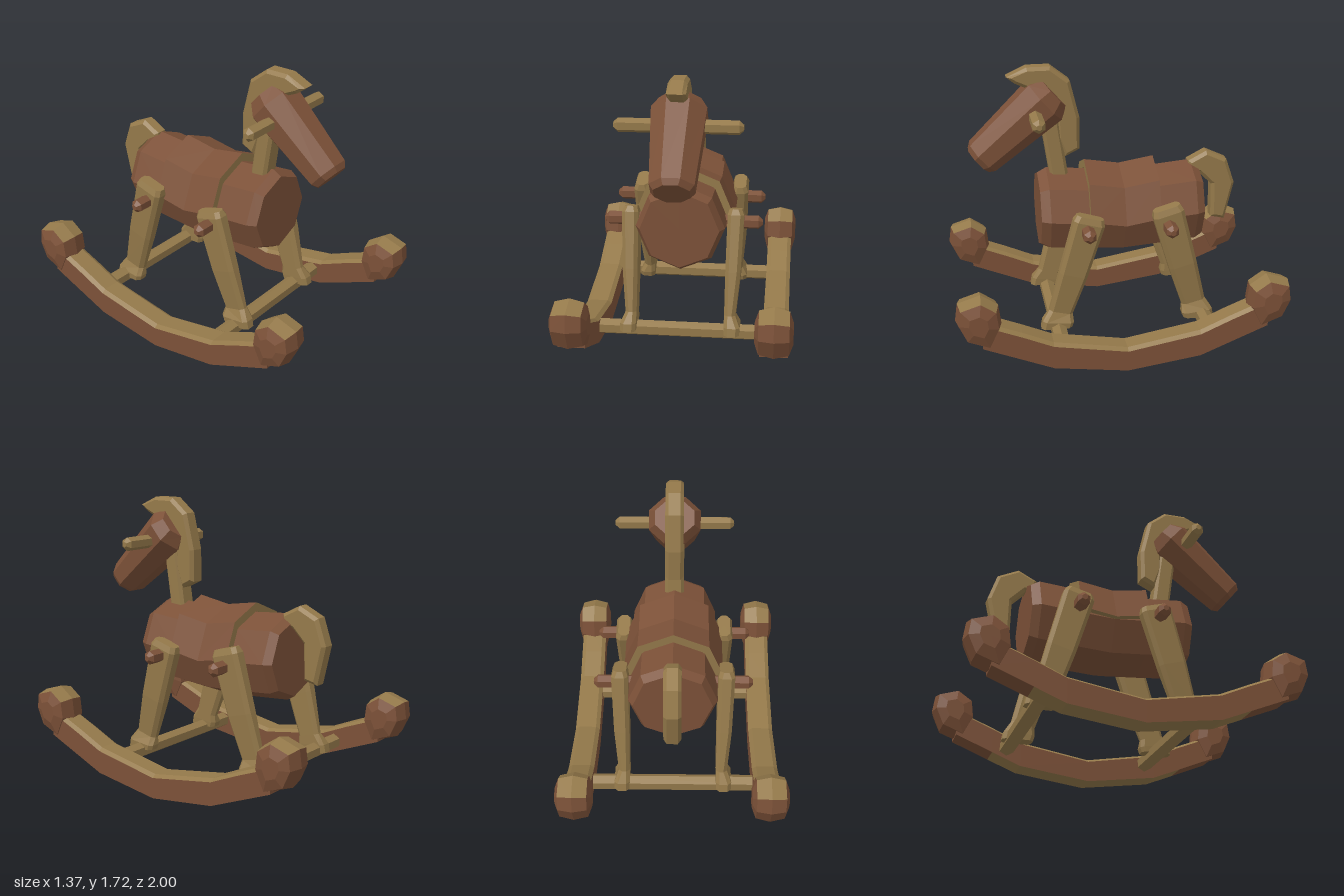
import * as THREE from 'three';

const brown = new THREE.MeshStandardMaterial({ color: 0x7c5138, flatShading: true });
brown.name = 'brown wood';
const tan = new THREE.MeshStandardMaterial({ color: 0x94794a, flatShading: true });
tan.name = 'tan wood';

const V = (x, y, z) => new THREE.Vector3(x, y, z);

// Faceted skin through equal-length rings of points, with fan caps, always facing outward.
function loft(rings) {
  const tris = [], n = rings[0].length;
  for (let i = 0; i < rings.length - 1; i++) {
    for (let j = 0; j < n; j++) {
      const k = (j + 1) % n;
      const [a, b, c, d] = [rings[i][j], rings[i][k], rings[i + 1][k], rings[i + 1][j]];
      tris.push([a, b, c], [a, c, d]);
    }
  }
  const cap = (ring, flip) => {
    const mid = ring.reduce((s, p) => s.add(p), V(0, 0, 0)).divideScalar(n);
    ring.forEach((p, j) => {
      const q = ring[(j + 1) % n];
      tris.push(flip ? [mid, q, p] : [mid, p, q]);
    });
  };
  cap(rings[0], true);
  cap(rings[rings.length - 1], false);
  const volume = tris.reduce((s, [a, b, c]) => s + a.dot(b.clone().cross(c)), 0);
  const pts = tris.flatMap(([a, b, c]) => (volume < 0 ? [a, c, b] : [a, b, c]));
  const geo = new THREE.BufferGeometry().setFromPoints(pts);
  geo.computeVertexNormals();
  return geo;
}

// Splits faces between brown and tan by a rule on face normal and centre.
function paint(source, isTan) {
  const geo = source.index ? source.toNonIndexed() : source;
  geo.clearGroups();
  const pos = geo.attributes.position, tri = new THREE.Triangle();
  const normal = V(0, 0, 0), mid = V(0, 0, 0);
  for (let i = 0; i < pos.count; i += 3) {
    tri.setFromAttributeAndIndices(pos, i, i + 1, i + 2);
    tri.getNormal(normal);
    tri.getMidpoint(mid);
    geo.addGroup(i, 3, isTan(normal, mid) ? 1 : 0);
  }
  return geo;
}

// Hexagonal rod along x from [x, radius] pairs.
const rod = (profile, y, z) => loft(profile.map(([x, r]) =>
  Array.from({ length: 6 }, (_, i) => V(x, y + r * Math.cos(i * Math.PI / 3), z + r * Math.sin(i * Math.PI / 3)))));

// Rectangle with cut corners, as [u, v] pairs.
const chamfered = (a, b, c) => [[a, b - c], [a - c, b], [c - a, b], [-a, b - c], [-a, c - b], [c - a, -b], [a - c, -b], [a, c - b]];

// Bevelled slab with a side outline given as [z, y] pairs.
function slab(outline, halfWidth) {
  const bevel = 0.02;
  const geo = new THREE.ExtrudeGeometry(new THREE.Shape(outline.map(([z, y]) => new THREE.Vector2(z, y))), {
    depth: 2 * (halfWidth - bevel), bevelEnabled: true, bevelSegments: 1,
    bevelSize: bevel, bevelThickness: bevel, bevelOffset: -bevel,
  });
  geo.translate(0, 0, bevel - halfWidth);
  return geo.rotateY(-Math.PI / 2);
}

export function createModel() {
  const model = new THREE.Group();
  model.name = 'rockingHorse';
  const add = (name, geo, material) => {
    const mesh = new THREE.Mesh(geo, material);
    mesh.name = name;
    model.add(mesh);
  };

  // Barrel body with a sagging back: [z, centre y, radius]
  const stations = [[0.45, 0.815, 0.235], [0.395, 0.815, 0.265], [0.16, 0.795, 0.265], [-0.055, 0.78, 0.265],
    [-0.27, 0.795, 0.265], [-0.505, 0.815, 0.265], [-0.555, 0.815, 0.235]];
  add('body', loft(stations.map(([z, y, r]) => Array.from({ length: 8 }, (_, i) =>
    V(r * Math.sin(i * Math.PI / 4), y + r * Math.cos(i * Math.PI / 4), z)))), brown);

  // Saddle: half shell over the back, lowered in the middle
  const arc = (r) => Array.from({ length: 5 }, (_, i) =>
    new THREE.Vector2(r * Math.cos(i * Math.PI / 4), r * Math.sin(i * Math.PI / 4)));
  const saddle = new THREE.ExtrudeGeometry(new THREE.Shape([...arc(0.303), ...arc(0.25).reverse()]),
    { depth: 0.43, steps: 2, bevelEnabled: false });
  saddle.translate(0, 0, -0.27);
  const sp = saddle.attributes.position;
  for (let i = 0; i < sp.count; i++) {
    sp.setY(i, sp.getY(i) + 0.78 + 0.035 * Math.abs(sp.getZ(i) + 0.055) / 0.215);
  }
  saddle.computeVertexNormals();
  add('saddle', paint(saddle, (n) => n.y < -0.3 || Math.abs(n.z) > 0.7), [brown, tan]);

  // Neck post: [y, z, half depth]
  add('neck', loft([[0.98, 0.31, 0.055], [1.22, 0.345, 0.055], [1.45, 0.38, 0.055]].map(([y, z, d]) =>
    chamfered(0.06, d, 0.018).map(([u, v]) => V(u, y, z + v)))), tan);

  // Head, sloping to the nose: [z, y, half width, half height]
  const headRings = [[0.34, 1.555, 0.12, 0.105], [0.395, 1.505, 0.16, 0.145],
    [0.775, 1.175, 0.125, 0.11], [0.8, 1.152, 0.1, 0.09]];
  add('head', loft(headRings.map(([z, y, w, h]) => Array.from({ length: 8 }, (_, i) => {
    const t = (i + 0.5) * Math.PI / 4, k = 1 / Math.cos(Math.PI / 8);
    const u = w * k * Math.cos(t), v = h * k * Math.sin(t);
    return V(u, y + v * 0.753, z + v * 0.658);
  }))), brown);

  // Mane and tail
  add('mane', slab([[0.62, 1.66], [0.5, 1.715], [0.36, 1.715], [0.245, 1.625], [0.19, 1.4], [0.19, 1.2],
    [0.28, 1.155], [0.325, 1.27], [0.33, 1.4], [0.37, 1.52], [0.46, 1.57], [0.57, 1.62]], 0.056), tan);
  add('tail', slab([[-0.49, 1.08], [-0.605, 1.14], [-0.735, 1.08], [-0.79, 0.92], [-0.735, 0.68],
    [-0.645, 0.7], [-0.64, 0.92], [-0.56, 1.0], [-0.49, 1.01]], 0.052), tan);

  // Handle bar through the head
  add('handle', rod([[-0.37, 0.018], [-0.345, 0.042], [0.345, 0.042], [0.37, 0.018]], 1.445, 0.465), tan);

  // Legs: [y, z, centre x, half width, half depth, tilt]
  const legRings = [[0.865, 0.17, 0.318, 0.038, 0.08, 0.28], [0.83, 0.18, 0.32, 0.05, 0.092, 0.28],
    [0.5, 0.278, 0.312, 0.046, 0.084, 0.28], [0.25, 0.355, 0.3, 0.034, 0.072, 0.25],
    [0.195, 0.375, 0.314, 0.048, 0.095, 0.1], [0.155, 0.385, 0.314, 0.046, 0.095, 0]];
  for (const side of [1, -1]) {
    const label = side > 0 ? 'left' : 'right';
    for (const front of [true, false]) {
      const name = label + (front ? 'Front' : 'Back');
      add(name + 'Leg', loft(legRings.map(([y, z, x, w, d, tilt]) => chamfered(w, d, 0.022).map(([u, v]) => {
        const along = z + v;
        const lift = front ? 0 : 0.03 * Math.max(0, (y - 0.155) / 0.7);
        return V(side * (x + u), y + v * tilt + lift, front ? along : -0.12 - along);
      }))), tan);
      add(name + 'Peg', rod([[0.2, 0.042], [0.455, 0.042], [0.48, 0.018]].map(([x, r]) => [side * x, r]),
        0.79, front ? 0.193 : -0.3), brown);
    }

    // Rocker: [z, bottom, top], mirrored front to back
    const half = [[0.85, 0.226, 0.39], [0.62, 0.133, 0.298], [0.44, 0.06, 0.22]];
    const run = [...half, [0, 0, 0.145], ...half.map(([z, b, t]) => [-z, b, t]).reverse()];
    const rocker = loft(run.map(([z, b, t]) =>
      [[-0.08, b], [0.08, b], [0.08, t - 0.018], [0.055, t], [-0.055, t], [-0.08, t - 0.018]]
        .map(([u, y]) => V(side * 0.575 + u, y, z))));
    add(label + 'Rocker', paint(rocker, (n, c) => n.y > 0.3 || (n.y < -0.5 && Math.abs(c.z) < 0.6)), [brown, tan]);

    // Rounded knobs on the rocker tips, from side outlines shrinking outward
    const outline = [[0.985, 0.49], [0.85, 0.533], [0.75, 0.465], [0.735, 0.345], [0.8, 0.21], [0.945, 0.265], [1, 0.385]];
    for (const end of [1, -1]) {
      const knob = loft([[-0.108, 0.42], [-0.085, 0.86], [0, 1], [0.085, 0.86], [0.108, 0.42]].map(([u, s]) =>
        outline.map(([z, y]) => V(side * 0.575 + u, 0.385 + s * (y - 0.385), end * (0.87 + s * (z - 0.87))))));
      add(label + (end > 0 ? 'Front' : 'Back') + 'Knob', paint(knob, (n) => n.y > 0.4), [brown, tan]);
    }
  }

  // Cross bars joining the rockers
  add('frontCrossBar', rod([[-0.55, 0.05], [0.55, 0.05]], 0.145, 0.375), tan);
  add('backCrossBar', rod([[-0.55, 0.05], [0.55, 0.05]], 0.168, -0.53), tan);

  return model;
}
